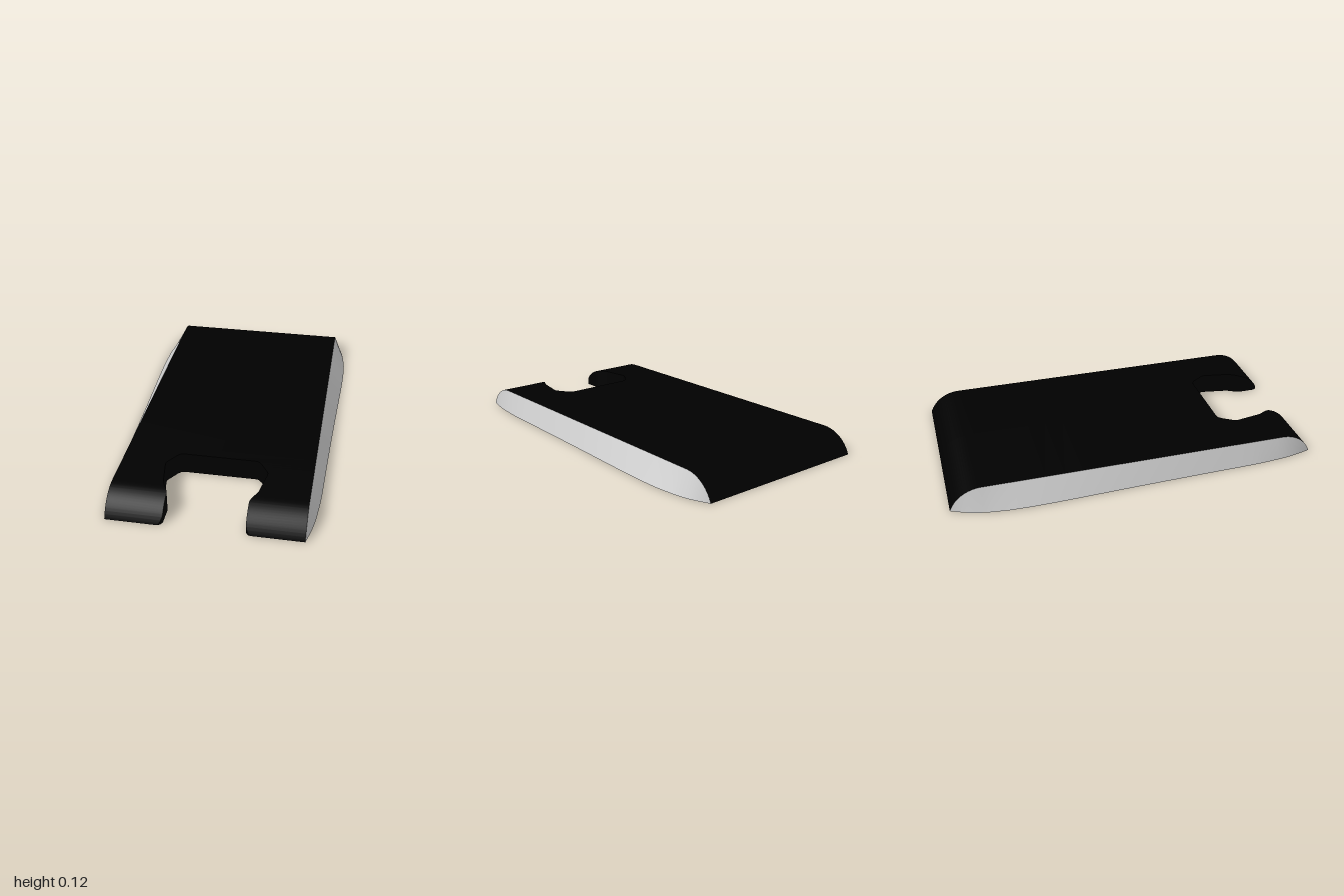
import * as THREE from 'three';
import { toCreasedNormals } from 'three/addons/utils/BufferGeometryUtils.js';

const HALF = 0.495;   // half width of the top plate
const HEIGHT = 0.117;
const FLAT = 0.83;    // where the flat top starts to round off
const R = 0.182;      // radius of the rounded ends

// half-width of the underside along z, as [z, x]
const flare = new THREE.SplineCurve([
  [-1, 0.495], [-0.9, 0.538], [-0.8, 0.56], [-0.7, 0.571], [-0.58, 0.574], [-0.4, 0.571],
  [0, 0.558], [0.4, 0.548], [0.65, 0.543], [0.8, 0.533], [0.9, 0.519], [1, 0.495],
].map(p => new THREE.Vector2(...p))).getPoints(120).map(p => [p.x, p.y]);

// half-width of the front slot along z, as [z, x]
const slot = [
  [0.56, 0.19], [0.563, 0.205], [0.58, 0.222], [0.64, 0.26], [0.648, 0.264], [0.66, 0.265],
  [0.8, 0.241], [0.815, 0.236], [0.865, 0.21], [0.88, 0.205], [0.97, 0.205],
  [0.98, 0.207], [0.99, 0.213], [0.997, 0.221], [1, 0.23],
];

function lookup(table, z) {
  for (let i = 1; i < table.length; i++) {
    const [z0, x0] = table[i - 1], [z1, x1] = table[i];
    if (z <= z1) return x0 + (x1 - x0) * Math.max(0, (z - z0) / (z1 - z0));
  }
  return table[table.length - 1][1];
}

function topHeight(z) {
  const d = Math.abs(z) - FLAT;
  return d <= 0 ? HEIGHT : Math.max(0, HEIGHT - R + Math.sqrt(R * R - d * d));
}

// cross-section stations from back to front
function makeStations() {
  const zs = slot.map(p => p[0]);
  const end = Math.asin((1 - FLAT) / R);
  for (let i = 0; i <= 16; i++) {
    const z = i === 16 ? 1 : FLAT + R * Math.sin(end * i / 16);
    zs.push(z, -z);
  }
  for (let i = -8; i <= 8; i++) zs.push(i / 10);
  zs.sort((a, b) => a - b);
  const stations = [];
  for (const z of zs.filter((v, i) => i === 0 || v - zs[i - 1] > 1e-5)) {
    const s = { z, y: topHeight(z), outer: lookup(flare, z), inner: 0 };
    if (z === slot[0][0]) stations.push({ ...s });   // doubled for the slot's back wall
    if (z >= slot[0][0]) s.inner = lookup(slot, z);
    stations.push(s);
  }
  return stations;
}

// ruled strip between two edges; each edge maps a station to [x, y]
function strip(stations, edgeA, edgeB, mirror, keep) {
  const pos = [], index = [];
  stations.forEach((s, i) => {
    for (const [x, y] of [edgeA(s), edgeB(s)]) pos.push(x * mirror, y, s.z);
    if (i === 0 || !keep(stations[i - 1], s)) return;
    const a = 2 * i - 2, b = a + 1, c = a + 2, d = a + 3;
    if (mirror > 0) index.push(a, c, b, b, c, d);
    else index.push(a, b, c, b, d, c);
  });
  const g = new THREE.BufferGeometry();
  g.setAttribute('position', new THREE.Float32BufferAttribute(pos, 3));
  g.setIndex(index);
  g.computeVertexNormals();
  return g;
}

export function createModel() {
  const group = new THREE.Group();
  const black = new THREE.MeshStandardMaterial({ color: 0x000000 });
  const grey = new THREE.MeshStandardMaterial({ color: 0xcccccc });
  const stations = makeStations();
  const advances = (p, s) => s.z > p.z;
  const add = (name, geometry, material) => {
    const mesh = new THREE.Mesh(geometry, material);
    mesh.name = name;
    group.add(mesh);
  };

  for (const [label, m] of [['left', 1], ['right', -1]]) {
    // top plate with rounded ends
    add(label + 'TopPlate', strip(stations, s => [s.inner, s.y], s => [HALF, s.y], m, advances), black);
    // flared flank
    add(label + 'Flank', strip(stations, s => [HALF, s.y], s => [s.outer, 0], m, advances), grey);
    // underside
    add(label + 'Underside', strip(stations, s => [s.outer, 0], s => [s.inner, 0], m, advances), grey);
    // slot wall, including its back
    const wall = strip(stations, s => [s.inner, 0], s => [s.inner, s.y], m, (p, s) => s.inner > 0);
    add(label + 'SlotWall', toCreasedNormals(wall, 0.6), black);
  }
  return group;
}
